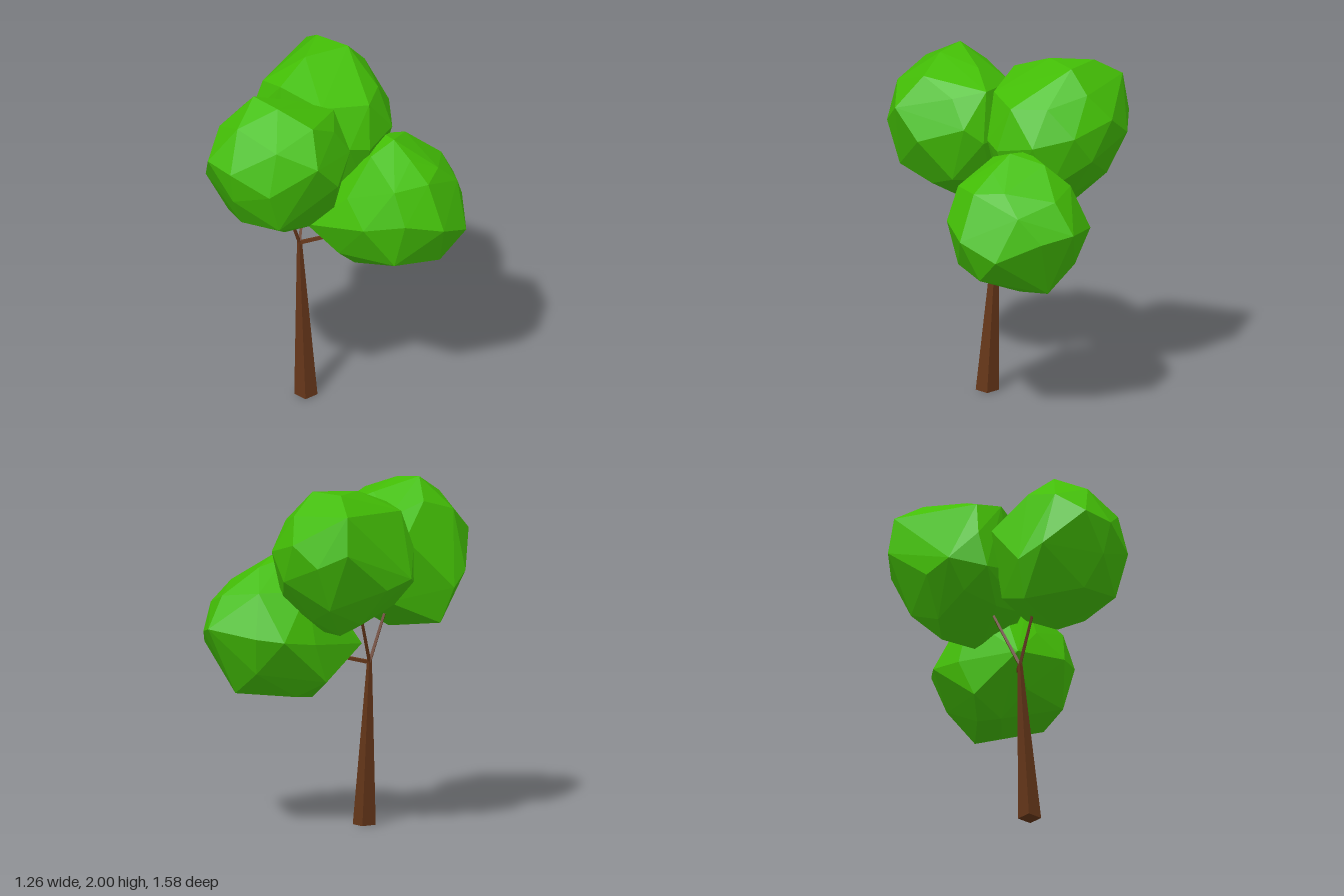
import * as THREE from 'three';
import { ConvexGeometry } from 'three/addons/geometries/ConvexGeometry.js';

const leafMat = new THREE.MeshStandardMaterial({ color: 0x43be06, flatShading: true });
const barkMat = new THREE.MeshStandardMaterial({ color: 0x653619, flatShading: true });

// Faceted foliage clump: convex hull of its corners
function clump(name, corners) {
  const mesh = new THREE.Mesh(new ConvexGeometry(corners.map((p) => new THREE.Vector3(...p))), leafMat);
  mesh.name = name;
  return mesh;
}

// Thin tapered square branch between two points
function branch(name, from, to, r0, r1) {
  const a = new THREE.Vector3(...from), b = new THREE.Vector3(...to);
  const dir = b.clone().sub(a);
  const mesh = new THREE.Mesh(new THREE.CylinderGeometry(r1, r0, dir.length(), 4), barkMat);
  mesh.position.copy(a).add(b).multiplyScalar(0.5);
  mesh.quaternion.setFromUnitVectors(new THREE.Vector3(0, 1, 0), dir.normalize());
  mesh.name = name;
  return mesh;
}

// Leaning square trunk that tapers to the fork
function trunk(base, fork) {
  const geo = new THREE.BoxGeometry(1, 1, 1);
  const p = geo.attributes.position;
  for (let i = 0; i < p.count; i++) {
    const t = p.getY(i) + 0.5;
    const w = THREE.MathUtils.lerp(0.094, 0.02, t);
    p.setXYZ(i,
      THREE.MathUtils.lerp(base[0], fork[0], t) + p.getX(i) * w,
      THREE.MathUtils.lerp(base[1], fork[1], t),
      THREE.MathUtils.lerp(base[2], fork[2], t) + p.getZ(i) * w);
  }
  geo.computeVertexNormals();
  const mesh = new THREE.Mesh(geo, barkMat);
  mesh.name = 'trunk';
  return mesh;
}

export function createModel() {
  const tree = new THREE.Group();
  tree.name = 'tree';
  const fork = [-0.1, 0.95, 0.14];

  // Trunk and branches
  tree.add(trunk([-0.035, 0, 0.15], [-0.1, 0.96, 0.14]));
  tree.add(branch('frontBranch', fork, [-0.1, 1.3, 0.275], 0.012, 0.009));
  tree.add(branch('rearBranch', fork, [-0.19, 1.3, 0.0], 0.012, 0.009));
  tree.add(branch('lowBranch', fork, [0.02, 0.99, -0.02], 0.014, 0.012));

  // Foliage
  tree.add(clump('frontFoliage', [
    // crown
    [-0.13, 2, 0.47], [0.05, 1.98, 0.45], [0.26, 1.9, 0.37], [-0.03, 1.92, 0.22],
    [-0.27, 1.88, 0.4], [-0.05, 1.89, 0.67], [0.08, 1.84, 0.04],
    [-0.24, 1.8, 0.17], [0.225, 1.8, 0.17], [-0.255, 1.815, 0.62], [0.225, 1.815, 0.62],
    // girth
    [-0.17, 1.68, 0.79], [0.02, 1.66, 0.79], [0.24, 1.56, 0.69], [0.4, 1.72, 0.46],
    [0.385, 1.55, 0.29], [0.24, 1.64, 0.06], [0.14, 1.55, 0], [-0.09, 1.55, 0.03],
    [-0.37, 1.69, 0.2], [-0.43, 1.39, 0.5], [-0.36, 1.47, 0.63], [0, 1.47, 0.75],
    // underside
    [0.21, 1.25, 0.35], [0, 1.13, 0.35], [-0.35, 1.18, 0.46], [-0.05, 1.28, 0.64],
    [0, 1.28, 0.08], [-0.255, 1.315, 0.16], [0.225, 1.315, 0.17], [0.225, 1.315, 0.6],
  ]));
  tree.add(clump('upperFoliage', [
    // crown
    [-0.44, 2, -0.31], [-0.22, 2, -0.35], [-0.3, 1.99, -0.09], [-0.6, 1.9, -0.38],
    [-0.42, 1.87, 0.13], [-0.22, 1.87, -0.48], [-0.25, 1.9, 0.15], [0.12, 1.8, -0.2],
    [-0.455, 1.82, -0.42], [0, 1.81, -0.38], [0, 1.82, 0.06],
    // girth
    [-0.63, 1.68, -0.4], [-0.5, 1.6, -0.52], [-0.33, 1.72, -0.57], [-0.07, 1.65, -0.53],
    [-0.2, 1.49, -0.54], [0.12, 1.6, -0.38], [0.18, 1.55, -0.15], [0.14, 1.58, -0.03],
    [-0.22, 1.5, 0.18], [-0.46, 1.66, 0.19], [-0.42, 1.45, 0.22],
    [-0.59, 1.5, 0.08], [-0.6, 1.45, -0.1],
    // underside
    [-0.45, 1.24, -0.17], [-0.35, 1.17, -0.25], [-0.1, 1.16, -0.2], [0.1, 1.3, -0.17],
    [-0.22, 1.25, -0.35], [-0.22, 1.31, 0.07], [-0.455, 1.34, -0.4], [0, 1.34, -0.4],
    [-0.455, 1.34, 0.06], [0, 1.34, 0.05],
  ]));
  tree.add(clump('rearFoliage', [
    // crown
    [0.22, 1.58, -0.3], [0.1, 1.57, -0.32], [0.36, 1.5, -0.3], [0.51, 1.4, -0.3],
    [0.12, 1.53, -0.48], [0.22, 1.37, -0.67], [0.2, 1.52, -0.14], [-0.1, 1.4, -0.3],
    [0.15, 1.28, 0], [0.42, 1.42, -0.46], [0.44, 1.3, -0.59], [0, 1.4, -0.57],
    [0, 1.39, -0.1], [0.44, 1.39, -0.1],
    // girth
    [0.63, 1.14, -0.31], [0.57, 1.05, -0.54], [0.36, 1.15, -0.7], [0.19, 1.19, -0.79],
    [-0.08, 1.15, -0.65], [-0.18, 1.13, -0.52], [-0.18, 1.1, -0.3], [-0.08, 1.06, 0.1],
    [0.1, 1.1, 0.07], [0.33, 1.15, 0.04], [0.53, 1.2, -0.1],
    // underside
    [0.53, 0.9, -0.37], [0.22, 0.77, -0.38], [0.03, 0.76, -0.17], [-0.02, 0.78, -0.32],
    [-0.15, 0.87, -0.2], [0.2, 0.8, -0.59], [0.08, 0.9, 0], [-0.01, 0.935, -0.595],
    [0.44, 0.92, -0.1],
  ]));
  return tree;
}
